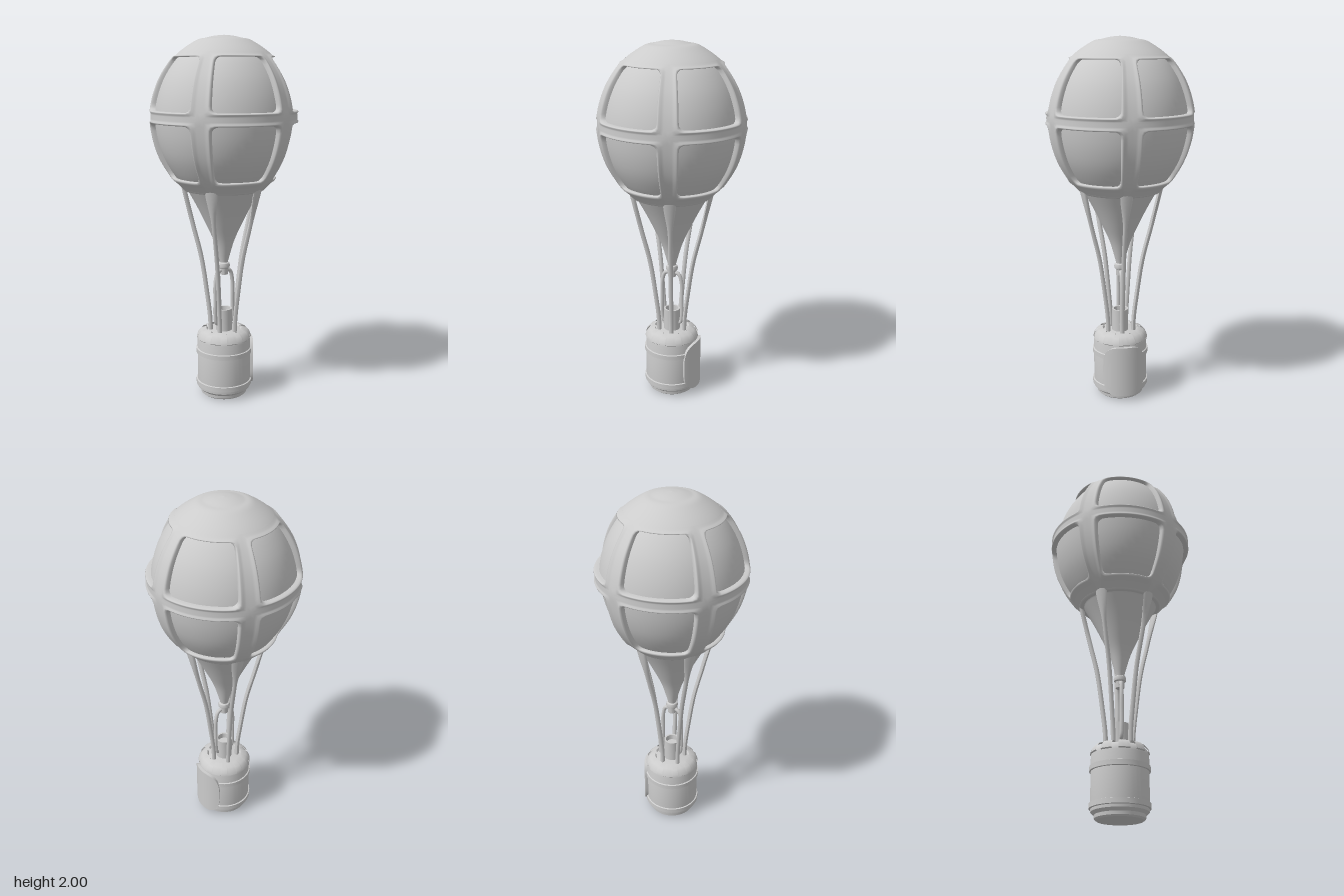
import * as THREE from 'three';
import { mergeGeometries, mergeVertices, toCreasedNormals } from 'three/addons/utils/BufferGeometryUtils.js';

const mat = new THREE.MeshStandardMaterial({ color: 0xcccccc, side: THREE.DoubleSide });
const V2 = (x, y) => new THREE.Vector2(x, y);
const V3 = (x, y, z = 0) => new THREE.Vector3(x, y, z);
const SECTOR = Math.PI * 2 / 5;

// outer envelope profile (radius, height), from belt to crown
const profile = new THREE.SplineCurve([
  [0.222, 1.185], [0.28, 1.25], [0.34, 1.35], [0.374, 1.45], [0.39, 1.55], [0.39, 1.6], [0.368, 1.7],
  [0.325, 1.8], [0.25, 1.9], [0.15, 1.97], [0.095, 1.985], [0.05, 1.995], [0, 2]
].map(p => V2(...p))).getPoints(120);

function radiusAt(y) {
  let i = 1;
  while (i < profile.length - 1 && profile[i].y < y) i++;
  const a = profile[i - 1], b = profile[i];
  return THREE.MathUtils.lerp(a.x, b.x, (y - a.y) / (b.y - a.y));
}

function mesh(name, geometry, parent) {
  const m = new THREE.Mesh(geometry, mat);
  m.name = name;
  parent.add(m);
  return m;
}

function lathe(points, segments = 60, start = 0, length = Math.PI * 2) {
  return new THREE.LatheGeometry(points.map(p => Array.isArray(p) ? V2(...p) : p), segments, start, length);
}

// one frame cell: rings running from the cell's outline to a rounded window, then folding inward
function frameCell(theta, cell, win) {
  const side = 14, n = side * 4, rho = 0.2, halfCell = SECTOR / 2, halfWin = 0.49;
  const rings = [[0, 0], [0.35, 0], [0.6, 0.002], [0.78, 0.008], [0.92, 0.007], [1, 0], [1.03, -0.012], [1.05, -0.035]];
  const pos = [], index = [];
  for (const [t, lift] of rings) {
    for (let j = 0; j < n; j++) {
      const s = (j % side) / side * 2 - 1;
      const p = [V2(s, -1), V2(1, s), V2(-s, 1), V2(-1, -s)][Math.floor(j / side)];
      // round the window's corners
      const q = p.clone().clampScalar(rho - 1, 1 - rho), d = p.clone().sub(q);
      const w = q.add(d.setLength(rho));
      const mid = a => (a[0] + a[1]) / 2, half = a => (a[1] - a[0]) / 2;
      const a = theta + THREE.MathUtils.lerp(p.x * halfCell, w.x * halfWin, t);
      const y = THREE.MathUtils.lerp(mid(cell) + p.y * half(cell), mid(win) + w.y * half(win), t);
      const r = radiusAt(y) + lift;
      pos.push(r * Math.cos(a), y, -r * Math.sin(a));
    }
  }
  for (let i = 0; i < rings.length - 1; i++) for (let j = 0; j < n; j++) {
    const a = i * n + j, b = i * n + (j + 1) % n;
    index.push(a, b, b + n, a, b + n, a + n);
  }
  const g = new THREE.BufferGeometry();
  g.setAttribute('position', new THREE.Float32BufferAttribute(pos, 3));
  g.setIndex(index);
  return g;
}

function buildBalloon() {
  const balloon = new THREE.Group();
  balloon.name = 'balloon';
  // inner skin with the tapering cone
  const cone = new THREE.SplineCurve([[0.02, 0.76], [0.03, 0.8], [0.06, 0.9], [0.105, 1], [0.155, 1.1], [0.205, 1.19]]
    .map(p => V2(...p))).getPoints(24);
  const skin = [];
  for (let y = 1.22; y < 1.93; y += 0.03) skin.push(V2(radiusAt(y) - 0.02, y));
  mesh('innerEnvelope', lathe([...cone, ...skin]), balloon);

  // frame with two rows of five windows
  const cells = [];
  for (let k = 0; k < 5; k++) {
    const theta = (k + 0.5) * SECTOR;
    cells.push(frameCell(theta, [1.58, 1.91], [1.61, 1.885]));
    cells.push(frameCell(theta, [1.19, 1.58], [1.25, 1.545]));
  }
  const frame = mergeVertices(mergeGeometries(cells), 1e-4);
  frame.computeVertexNormals();
  mesh('windowFrame', frame, balloon);

  // crown, its disc and the belt's rounded lower lip
  mesh('crown', lathe([V2(radiusAt(1.91), 1.91), ...profile.filter(p => p.y > 1.912)]), balloon);
  mesh('beltLip', lathe([[0.195, 1.19], [0.205, 1.182], [0.218, 1.181], [0.226, 1.188], [0.231, 1.197]]), balloon);

  // neck with a collar
  mesh('neck', toCreasedNormals(lathe([[0, 0.7], [0.023, 0.7], [0.025, 0.735], [0.032, 0.74], [0.034, 0.752],
    [0.03, 0.765], [0.022, 0.77]], 20), 0.6), balloon);
  return balloon;
}

function buildRopes() {
  const ropes = new THREE.Group();
  ropes.name = 'ropes';
  const path = new THREE.CatmullRomCurve3([V3(0.225, 1.215), V3(0.208, 1.14), V3(0.17, 0.98), V3(0.126, 0.8),
    V3(0.096, 0.6), V3(0.078, 0.45), V3(0.075, 0.36)]);
  const g = new THREE.TubeGeometry(path, 32, 0.0125, 8);
  // widen the upper end where the rope grows out of the frame
  const p = g.attributes.position;
  for (let i = 0; i < p.count; i++) {
    const f = THREE.MathUtils.smoothstep(p.getY(i), 1.0, 1.21);
    p.setZ(i, p.getZ(i) * (1 + 1.8 * f));
  }
  g.computeVertexNormals();
  for (let k = 0; k < 5; k++) mesh('rope', g, ropes).rotation.y = k * SECTOR;
  return ropes;
}

function buildBurner() {
  const burner = new THREE.Group();
  burner.name = 'burner';
  mesh('burnerCan', toCreasedNormals(lathe([[0.046, 0.37], [0.046, 0.5], [0.036, 0.5], [0.034, 0.47], [0, 0.47]], 24), 0.6), burner);
  // pipes from the neck down to the burner
  for (const s of [-1, 1]) {
    const path = new THREE.CatmullRomCurve3([V3(s * 0.015, 0.725), V3(s * 0.042, 0.715), V3(s * 0.058, 0.66),
      V3(s * 0.06, 0.55), V3(s * 0.06, 0.46), V3(s * 0.052, 0.42), V3(s * 0.03, 0.41)]);
    mesh('gasPipe', new THREE.TubeGeometry(path, 28, 0.011, 8), burner);
  }
  return burner;
}

function buildBasket() {
  const basket = new THREE.Group();
  basket.name = 'basket';
  mesh('basketBody', toCreasedNormals(lathe([[0, 0], [0.12, 0], [0.13, 0.008], [0.132, 0.025], [0.148, 0.04],
    [0.15, 0.06], [0.15, 0.325], [0.145, 0.345], [0.128, 0.365], [0.1, 0.375], [0, 0.375]], 40), 0.6), basket);
  // hoops around the body
  for (const y of [0.07, 0.258]) {
    mesh('hoop', toCreasedNormals(lathe([[0.148, y - 0.016], [0.157, y - 0.013], [0.157, y + 0.013],
      [0.148, y + 0.016]], 40), 0.6), basket);
  }
  // tabs around the lid
  const count = 10, step = Math.PI * 2 / count;
  for (let k = 0; k < count; k++) {
    mesh('lidTab', toCreasedNormals(lathe([[0.148, 0.33], [0.154, 0.336], [0.148, 0.356], [0.13, 0.377], [0.1, 0.386],
      [0.09, 0.372]], 6, (k + 0.18) * step, step * 0.64), 0.6), basket);
  }
  // curved door on the left side, with cut corners
  const door = new THREE.BoxGeometry(2, 2, 1, 16, 8, 1), p = door.attributes.position;
  for (let i = 0; i < p.count; i++) {
    const u = p.getX(i), v = p.getY(i);
    const y = 0.18 + v * (0.145 - 0.035 * Math.pow(Math.abs(u), 4));
    const a = u * (0.76 - 0.1 * Math.pow(Math.abs(v), 4)), r = 0.156 + p.getZ(i) * 0.022;
    p.setXYZ(i, r * Math.cos(a), y, -r * Math.sin(a));
  }
  mesh('door', toCreasedNormals(door, 0.6), basket);
  return basket;
}

export function createModel() {
  const model = new THREE.Group();
  model.name = 'hotAirBalloon';
  model.add(buildBalloon(), buildRopes(), buildBurner(), buildBasket());
  return model;
}
